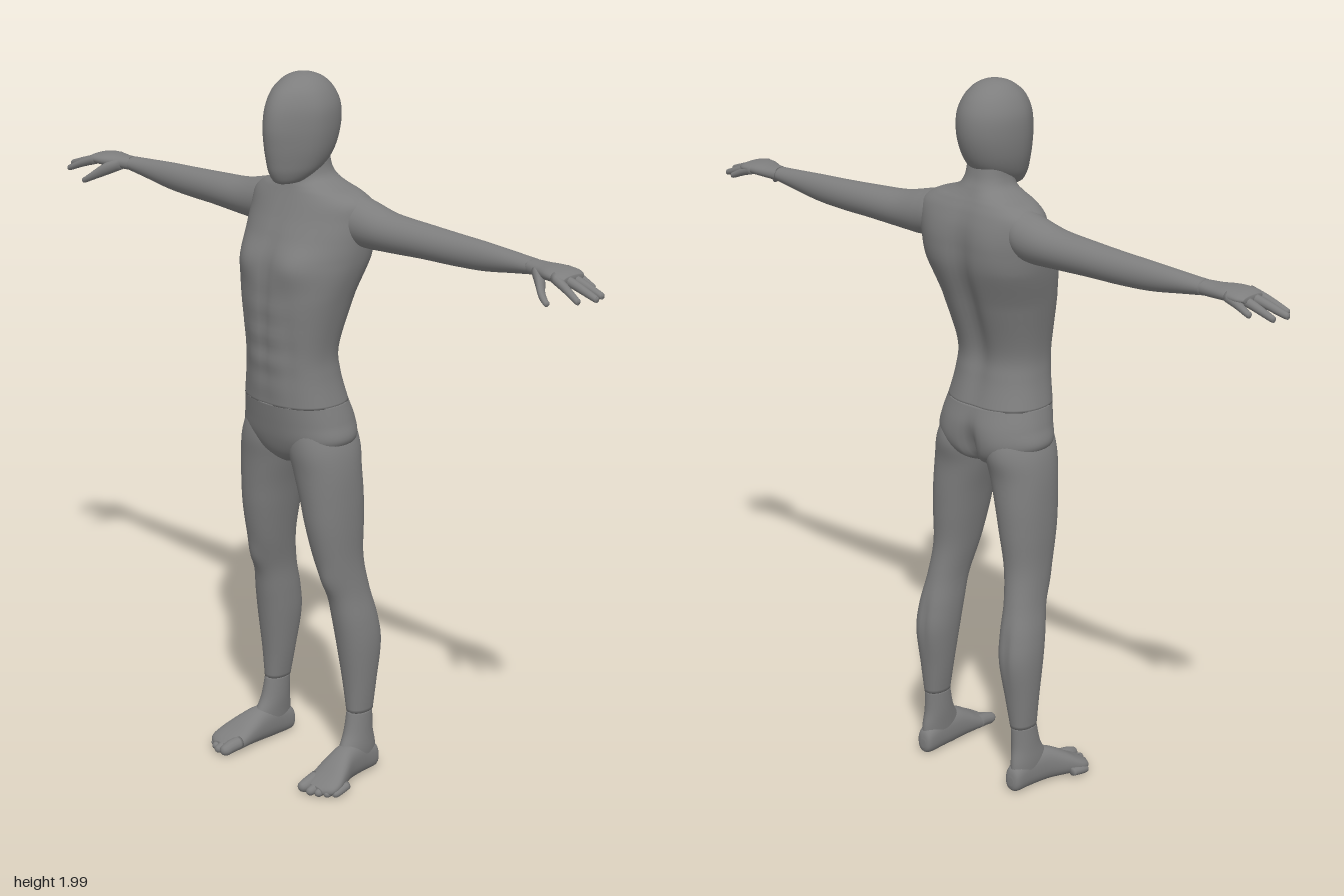
import * as THREE from 'three';

const material = new THREE.MeshStandardMaterial({ color: 0x7e7e7e });
const AXES = { x: ['y', 'z', 'x'], y: ['z', 'x', 'y'], z: ['x', 'y', 'z'] };
const bump = (d, r) => Math.exp(-(d * d) / (r * r));

// Smooth interpolation through one column of the section list
function spline(list, k, s) {
  const n = list.length - 1;
  const i = Math.min(Math.floor(s), n - 1), f = s - i;
  const at = (j) => list[Math.max(0, Math.min(n, j))][k];
  const a = at(i - 1), b = at(i), c = at(i + 1), d = at(i + 2);
  return b + 0.5 * f * (c - a + f * (2 * a - 5 * b + 4 * c - d + f * (3 * (b - c) + d - a)));
}

// Skin through sections [t, uMin, uMax, vMin, vMax] along an axis; side = -1 mirrors in x
function loft(name, axis, sections, { side = 1, ring = 32, steps = 6, power = 1, rule } = {}) {
  const [u, v, t] = AXES[axis];
  const rows = (sections.length - 1) * steps;
  const pos = [], idx = [];
  const p = new THREE.Vector3();
  const push = () => {
    if (rule) rule(p);
    pos.push(p.x * side, p.y, p.z);
  };
  const soft = (c) => Math.sign(c) * Math.abs(c) ** power;
  const tri = (a, b, c) => (side > 0 ? idx.push(a, b, c) : idx.push(a, c, b));
  for (let i = 0; i <= rows; i++) {
    const [tt, u0, u1, v0, v1] = [0, 1, 2, 3, 4].map((k) => spline(sections, k, i / steps));
    for (let j = 0; j < ring; j++) {
      const a = (j / ring) * Math.PI * 2;
      p[t] = tt;
      p[u] = (u0 + u1) / 2 + ((u1 - u0) / 2) * soft(Math.cos(a));
      p[v] = (v0 + v1) / 2 + ((v1 - v0) / 2) * soft(Math.sin(a));
      push();
    }
  }
  for (let i = 0; i < rows; i++) {
    for (let j = 0; j < ring; j++) {
      const a = i * ring + j, b = i * ring + ((j + 1) % ring);
      tri(a, b, b + ring);
      tri(a, b + ring, a + ring);
    }
  }
  // End caps
  for (const [s, row] of [[sections[0], 0], [sections.at(-1), rows]]) {
    const centre = pos.length / 3;
    p[t] = s[0]; p[u] = (s[1] + s[2]) / 2; p[v] = (s[3] + s[4]) / 2;
    push();
    for (let j = 0; j < ring; j++) {
      const a = row * ring + j, b = row * ring + ((j + 1) % ring);
      if (row) tri(a, b, centre); else tri(b, a, centre);
    }
  }
  const geo = new THREE.BufferGeometry();
  geo.setAttribute('position', new THREE.Float32BufferAttribute(pos, 3));
  geo.setIndex(idx);
  geo.computeVertexNormals();
  const mesh = new THREE.Mesh(geo, material);
  mesh.name = name;
  return mesh;
}

// Rounded finger or toe along points [x, y, z, radius]
function digit(name, axis, points, side) {
  const [u, v, t] = AXES[axis].map((c) => 'xyz'.indexOf(c));
  const sec = points.map((q) => [q[t], q[u] - q[3], q[u] + q[3], q[v] - q[3], q[v] + q[3]]);
  const e = points.at(-1);
  for (const [d, r] of [[0.7, 0.7], [0.95, 0.3], [1, 0.02]]) {
    const w = e[3] * r;
    sec.push([e[t] + e[3] * d, e[u] - w, e[u] + w, e[v] - w, e[v] + w]);
  }
  return loft(name, axis, sec, { side, ring: 12, steps: 3 });
}

// Rows for parts symmetric in x: [y, back, front, half width]
const even = (rows) => rows.map(([y, b, f, w]) => [y, b, f, -w, w]);

// Chest, abdomen and spine relief
function torsoRelief(p) {
  const x = Math.abs(p.x);
  if (p.y > 1.4) p.z -= 0.02 * (x / 0.2) ** 2 * Math.min(1, (p.y - 1.4) / 0.1);
  const front = THREE.MathUtils.smoothstep(p.z, 0.0, 0.06);
  const back = 1 - THREE.MathUtils.smoothstep(p.z, -0.08, -0.04);
  const belly = bump(p.y - 1.27, 0.13) * bump(x, 0.075);
  p.z += front * (0.016 * bump(x - 0.09, 0.06) * bump(p.y - 1.49, 0.05)
    - 0.006 * bump(x, 0.014) * bump(p.y - 1.36, 0.2)
    + 0.002 * belly * Math.cos((p.y - 1.22) * 2 * Math.PI / 0.075)
    - 0.004 * bump(x - 0.08, 0.018) * bump(p.y - 1.25, 0.12));
  p.z += back * (0.022 * bump(x, 0.035) * bump(p.y - 1.38, 0.22)
    - 0.005 * bump(x - 0.1, 0.05) * bump(p.y - 1.56, 0.07));
}

// Narrow the face toward its front
function faceTaper(p) {
  p.x *= 1 - 0.25 * THREE.MathUtils.smoothstep(p.z, 0, 0.11);
}

// Buttock, cleft, calf and kneecap relief shared by pelvis and legs
function lowerRelief(p) {
  const x = Math.abs(p.x);
  const back = 1 - THREE.MathUtils.smoothstep(p.z, -0.08, -0.03);
  const front = THREE.MathUtils.smoothstep(p.z, -0.03, 0.0);
  p.z += back * (0.028 * bump(x, 0.02) * bump(p.y - 0.97, 0.07)
    - 0.01 * bump(x - 0.085, 0.055) * bump(p.y - 0.99, 0.06)
    + 0.006 * bump(x - 0.155, 0.012) * bump(p.y - 0.42, 0.08));
  p.z += front * 0.01 * bump(x - 0.145, 0.03) * bump(p.y - 0.59, 0.04);
}

function limbs(side) {
  const group = new THREE.Group();
  group.name = side > 0 ? 'leftLimbs' : 'rightLimbs';
  const add = (...m) => group.add(...m);
  add(loft('arm', 'x', [
    [0.09, 1.58, 1.675, -0.11, -0.01], [0.15, 1.55, 1.674, -0.13, -0.005],
    [0.195, 1.538, 1.664, -0.133, -0.007],
    [0.28, 1.54, 1.645, -0.128, -0.016], [0.4, 1.545, 1.637, -0.124, -0.029],
    [0.5, 1.547, 1.632, -0.12, -0.038], [0.6, 1.553, 1.628, -0.115, -0.045],
    [0.7, 1.568, 1.622, -0.109, -0.05], [0.765, 1.578, 1.618, -0.105, -0.051],
  ], { side }));
  add(loft('palm', 'x', [
    [0.755, 1.579, 1.617, -0.104, -0.052], [0.8, 1.58, 1.617, -0.109, -0.04],
    [0.845, 1.582, 1.619, -0.116, -0.022], [0.885, 1.585, 1.615, -0.117, -0.018],
    [0.905, 1.59, 1.606, -0.105, -0.03],
  ], { side, power: 0.9 }));
  // Knuckle z, tip x, tip y, tip z for each finger, then the thumb
  [[-0.031, 0.963, 1.564, -0.01], [-0.055, 0.99, 1.568, -0.047],
    [-0.08, 0.976, 1.566, -0.084], [-0.104, 0.925, 1.572, -0.112]].forEach(([z, tx, ty, tz], i) => {
    const x = 0.87 - i * 0.006;
    add(digit('finger' + (i + 1), 'x', [
      [x, 1.6, z, 0.014], [(x + tx) / 2, (1.604 + ty) / 2, (z + tz) / 2, 0.012], [tx, ty, tz, 0.009],
    ], side));
  });
  add(digit('thumb', 'x', [[0.785, 1.597, -0.06, 0.016], [0.825, 1.58, -0.032, 0.019],
    [0.855, 1.559, -0.005, 0.013], [0.879, 1.544, 0.006, 0.009]], side));
  add(loft('leg', 'y', [
    [0.19, -0.12, -0.037, 0.136, 0.197], [0.28, -0.131, -0.03, 0.12, 0.206],
    [0.39, -0.147, -0.014, 0.105, 0.213], [0.47, -0.138, 0.0, 0.1, 0.208],
    [0.555, -0.117, 0.017, 0.097, 0.194], [0.65, -0.102, 0.05, 0.08, 0.188],
    [0.75, -0.107, 0.072, 0.06, 0.19], [0.83, -0.11, 0.081, 0.043, 0.19],
    [0.91, -0.109, 0.088, 0.02, 0.187], [0.97, -0.112, 0.095, 0.006, 0.178],
    [1.02, -0.102, 0.092, 0.01, 0.16], [1.06, -0.08, 0.08, 0.02, 0.14],
  ], { side, ring: 40, power: 0.92, rule: lowerRelief }));
  add(loft('ankle', 'y', [
    [0.03, -0.13, 0.02, 0.146, 0.2], [0.08, -0.129, 0.005, 0.141, 0.203],
    [0.13, -0.12, -0.022, 0.137, 0.2], [0.192, -0.119, -0.037, 0.136, 0.197],
  ], { side }));
  add(loft('foot', 'z', [
    [-0.137, 0.16, 0.18, 0.02, 0.045], [-0.125, 0.146, 0.196, 0.002, 0.075],
    [-0.07, 0.142, 0.203, 0, 0.1], [-0.01, 0.139, 0.216, 0, 0.1],
    [0.04, 0.138, 0.237, 0, 0.078], [0.08, 0.139, 0.251, 0, 0.053],
    [0.108, 0.142, 0.247, 0.002, 0.038], [0.125, 0.15, 0.222, 0.006, 0.028],
  ], { side, power: 0.85 }));
  // Toes, from the big one outward
  [[0.16, 0.134, 0.019], [0.188, 0.135, 0.014], [0.21, 0.125, 0.013],
    [0.23, 0.111, 0.012], [0.246, 0.094, 0.012]].forEach(([x, z, r], i) => {
    add(digit('toe' + (i + 1), 'z', [
      [x - 0.004, r + 0.008, z - 0.05, r], [x, r + 0.004, z - 0.02, r], [x, r, z, r * 0.9],
    ], side));
  });
  return group;
}

export function createModel() {
  const body = new THREE.Group();
  body.name = 'figure';
  body.add(loft('head', 'y', even([
    [1.697, 0.03, 0.065, 0.012], [1.705, -0.005, 0.082, 0.04], [1.73, -0.055, 0.096, 0.063],
    [1.76, -0.092, 0.103, 0.077], [1.8, -0.115, 0.109, 0.088], [1.85, -0.128, 0.112, 0.094],
    [1.9, -0.126, 0.103, 0.092], [1.94, -0.108, 0.08, 0.077], [1.968, -0.08, 0.045, 0.054],
    [1.982, -0.05, 0.015, 0.03], [1.988, -0.022, -0.018, 0.002],
  ]), { ring: 40, rule: faceTaper }));
  body.add(loft('torso', 'y', even([
    [1.1, -0.11, 0.123, 0.152], [1.18, -0.09, 0.127, 0.136], [1.255, -0.085, 0.13, 0.134],
    [1.385, -0.124, 0.132, 0.161], [1.49, -0.156, 0.12, 0.187], [1.56, -0.16, 0.095, 0.196],
    [1.61, -0.155, 0.072, 0.198], [1.65, -0.142, 0.054, 0.194], [1.675, -0.129, 0.043, 0.16],
    [1.69, -0.12, 0.037, 0.115], [1.708, -0.11, 0.031, 0.077], [1.735, -0.097, 0.03, 0.062],
    [1.78, -0.088, 0.03, 0.058],
  ]), { ring: 72, steps: 8, power: 0.88, rule: torsoRelief }));
  body.add(loft('pelvis', 'y', even([
    [0.918, -0.03, 0.045, 0.012], [0.935, -0.085, 0.072, 0.06], [0.96, -0.112, 0.09, 0.13],
    [1.0, -0.122, 0.104, 0.175], [1.05, -0.124, 0.114, 0.166], [1.102, -0.11, 0.123, 0.152],
  ]), { ring: 72, steps: 8, power: 0.9, rule: lowerRelief }));
  body.add(limbs(1), limbs(-1));
  // Slight turn of the whole stance
  body.rotation.y = -0.04;
  const model = new THREE.Group();
  model.name = 'humanFigure';
  model.add(body);
  return model;
}
